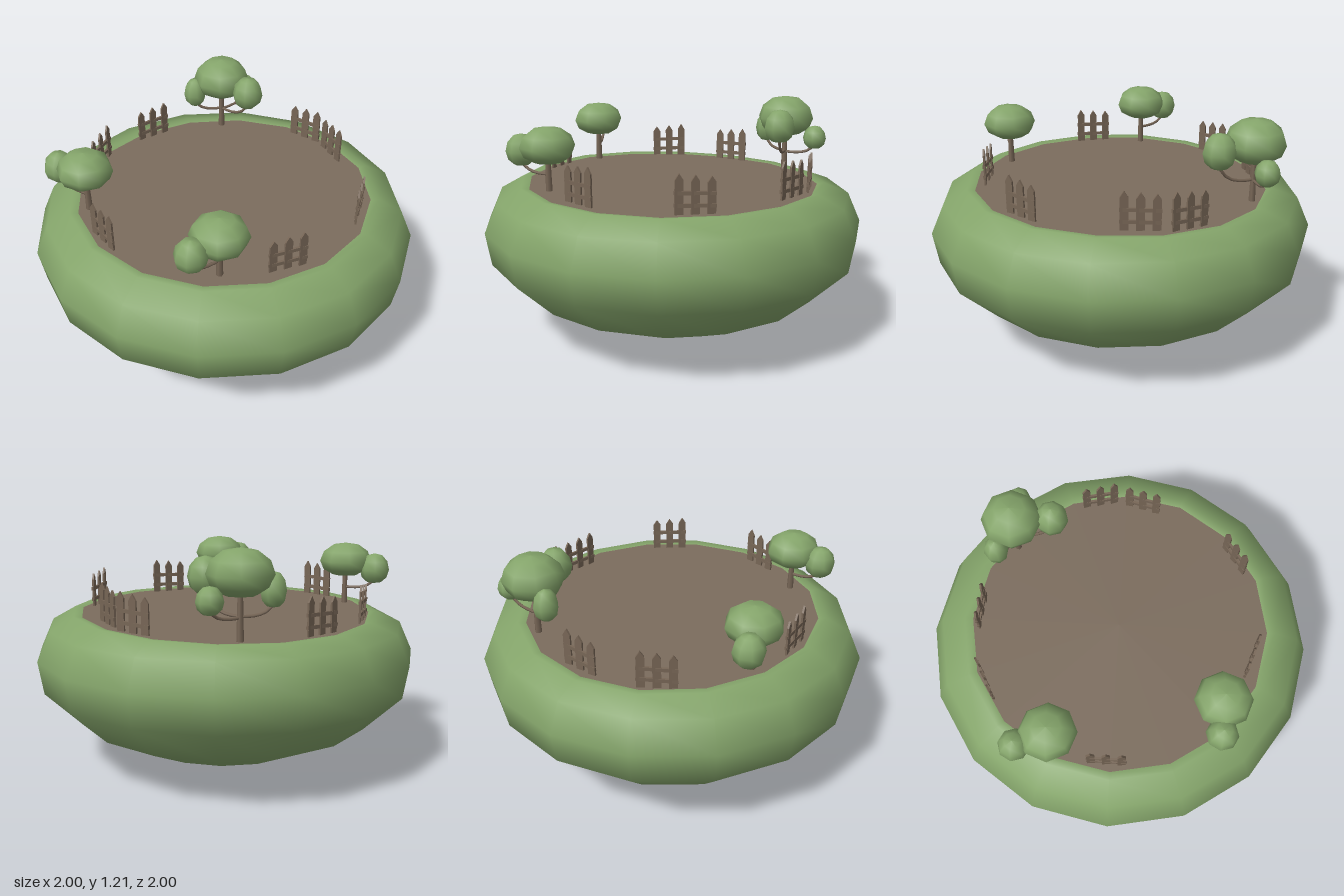
import * as THREE from 'three';

const mat = (name, color) => Object.assign(new THREE.MeshStandardMaterial({ color }), { name });

export function createModel() {
  const grass = mat('leaf green', 0x84a46a);
  const soil = mat('soil brown', 0x7b6c5d);
  const wood = mat('wood brown', 0x776656);
  const model = new THREE.Group();
  model.name = 'gardenIsland';

  const add = (parent, name, geometry, material, x = 0, y = 0, z = 0) => {
    const mesh = new THREE.Mesh(geometry, material);
    mesh.name = name;
    mesh.position.set(x, y, z);
    parent.add(mesh);
    return mesh;
  };
  const lathe = (points, sides, start = 0) =>
    new THREE.LatheGeometry(points.map(([r, y]) => new THREE.Vector2(r, y)), sides, start);

  // The ground dips gently towards the back left corner
  const dip = (x, z) => 0.024 * Math.max(0, -x - z);
  const sink = (geometry) => {
    const p = geometry.attributes.position;
    for (let i = 0; i < p.count; i++) {
      if (p.getY(i) > 0.78) p.setY(i, p.getY(i) - dip(p.getX(i), p.getZ(i)));
    }
    return geometry;
  };

  // Grassy bowl with rounded rim, and the soil inside it
  add(model, 'grassBowl', sink(lathe([
    [0, 0], [0.23, 0.02], [0.48, 0.09], [0.78, 0.23], [0.975, 0.42],
    [1.003, 0.59], [0.935, 0.74], [0.81, 0.81], [0.768, 0.803],
  ], 16, -0.1)), grass);
  add(model, 'soilBed', sink(lathe([[0.77, 0.803], [0, 0.807]], 16, -0.1)), soil);

  // Picket fences: three pointed boards on two rails
  const board = new THREE.Shape();
  board.moveTo(-0.02, 0);
  board.lineTo(0.02, 0);
  board.lineTo(0.02, 0.155);
  board.lineTo(0, 0.185);
  board.lineTo(-0.02, 0.155);
  board.closePath();
  const picket = new THREE.ExtrudeGeometry(board, { depth: 0.01, bevelEnabled: false });
  picket.translate(0, 0, -0.005);
  const rail = new THREE.BoxGeometry(0.195, 0.018, 0.012);

  const fence = (x0, z0, x1, z1) => {
    const group = new THREE.Group();
    group.name = 'fence';
    const x = (x0 + x1) / 2, z = (z0 + z1) / 2;
    group.position.set(x, 0.802 - dip(x, z), z);
    group.rotation.y = -Math.atan2(z1 - z0, x1 - x0);
    [-1, 0, 1].forEach((i) => {
      const p = add(group, 'picket', picket, wood, i * 0.075, 0, 0);
      p.rotation.y = 0.14;
      p.scale.y = 1 + 0.04 * i;
    });
    for (const y of [0.042, 0.1]) add(group, 'rail', rail, wood, 0, y, 0).rotation.z = 0.03;
    model.add(group);
  };
  fence(0.12, -0.72, 0.30, -0.67);
  fence(0.33, -0.64, 0.48, -0.50);
  fence(-0.67, -0.29, -0.56, -0.46);
  fence(-0.74, 0.10, -0.74, -0.10);
  fence(-0.45, 0.58, -0.27, 0.68);
  fence(0.45, 0.53, 0.60, 0.39);
  fence(0.70, -0.18, 0.72, 0.02);

  // Leaf clump: domed above, shallow below; y is the bottom, h the height
  const clump = (parent, name, [x, y, z, r, h], turn) => {
    const g = lathe([
      [0, 0], [0.5, 0.04], [0.86, 0.2], [1, 0.46], [0.86, 0.74], [0.5, 0.94], [0, 1],
    ].map(([a, b]) => [a * r, b * h]), 8, turn);
    add(parent, name, g, grass, x, y, z);
  };

  // Tree: trunk and crown, with a curved branch to each side clump
  const tree = (crown, sides) => {
    const [x, y, z] = crown;
    const group = new THREE.Group();
    group.name = 'tree';
    const height = y + 0.05 - 0.77;
    add(group, 'trunk', new THREE.CylinderGeometry(0.012, 0.018, height, 6), wood, x, 0.77 + height / 2, z);
    clump(group, 'crown', crown, 0.35);
    sides.forEach((s, i) => {
      clump(group, 'sideClump', s, 0.2 + i);
      const start = Math.min(0.895, s[1] - 0.03);
      const curve = new THREE.QuadraticBezierCurve3(
        new THREE.Vector3(x, start, z),
        new THREE.Vector3(s[0] + (x - s[0]) * 0.1, start - 0.01, s[2] + (z - s[2]) * 0.1),
        new THREE.Vector3(s[0], s[1] + 0.03, s[2]));
      add(group, 'branch', new THREE.TubeGeometry(curve, 6, 0.008, 5), wood);
    });
    model.add(group);
  };
  tree([-0.30, 0.985, -0.65, 0.157, 0.22], [
    [-0.11, 0.975, -0.585, 0.086, 0.18],
    [-0.21, 0.92, -0.80, 0.064, 0.13],
    [-0.43, 0.93, -0.565, 0.064, 0.165],
  ]);
  tree([-0.565, 0.952, 0.425, 0.142, 0.183], [[-0.73, 0.92, 0.405, 0.079, 0.163]]);
  tree([0.255, 0.945, 0.63, 0.142, 0.185], [[0.18, 0.92, 0.77, 0.08, 0.163]]);

  return model;
}
